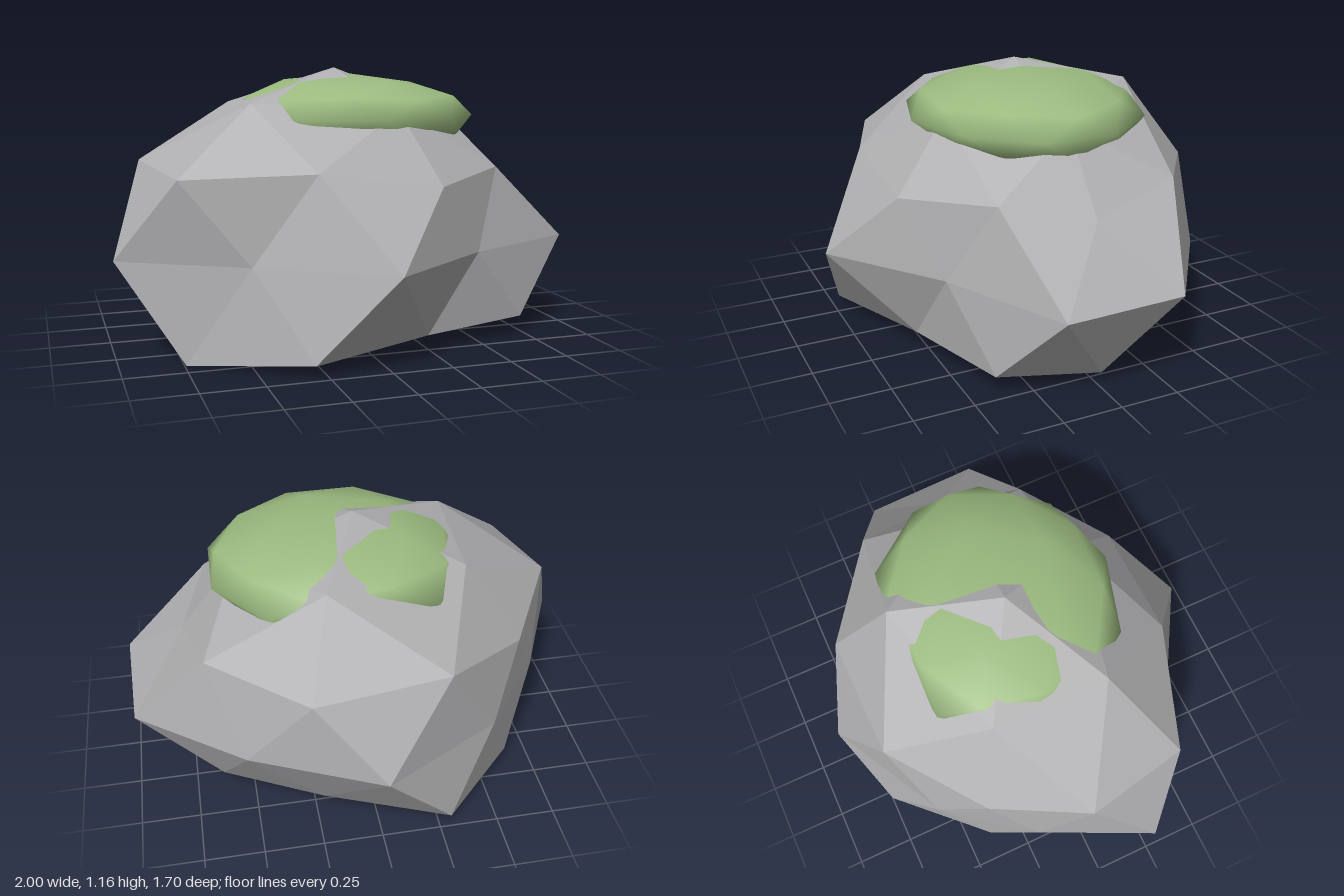
import * as THREE from 'three';

// Vertex-up icosphere (42 points) with a radius factor for every point, ring by ring from the top.
function lumpySphere(factors, place) {
  const ring = (start, step, heights) => Array.from({ length: 360 / step }, (_, j) => {
    const a = THREE.MathUtils.degToRad(start + j * step);
    const y = heights[j % heights.length], r = Math.sqrt(1 - y * y);
    return new THREE.Vector3(Math.sin(a) * r, y, Math.cos(a) * r);
  });
  const rings = [
    [new THREE.Vector3(0, 1, 0)],
    ring(18, 72, [0.851]),
    ring(18, 36, [0.447, 0.526]),
    ring(0, 36, [0]),
    ring(18, 36, [-0.526, -0.447]),
    ring(54, 72, [-0.851]),
    [new THREE.Vector3(0, -1, 0)],
  ];
  const positions = [];
  rings.forEach((points, i) => points.forEach((p, j) => {
    p.multiplyScalar(factors[i][j]);
    positions.push(...place(p));
  }));

  // Index helpers for each ring
  const b = k => 1 + k % 5;
  const a = j => 6 + (j + 10) % 10;
  const e = j => 16 + j % 10;
  const c = j => 26 + j % 10;
  const d = k => 36 + k % 5;
  const index = [];
  for (let k = 0; k < 5; k++) {
    const m = 2 * k;
    index.push(0, b(k), b(k + 1));
    index.push(b(k), a(m - 1), a(m), b(k), a(m), a(m + 1), b(k), a(m + 1), b(k + 1));
    index.push(d(k), c(m + 1), c(m), d(k), c(m + 2), c(m + 1), d(k), d(k + 1), c(m + 2));
    index.push(41, d(k + 1), d(k));
  }
  for (let j = 0; j < 10; j++) {
    index.push(a(j), e(j), e(j + 1), a(j), e(j + 1), a(j + 1));
    index.push(c(j), e(j + 1), e(j), c(j), c(j + 1), e(j + 1));
  }
  const geometry = new THREE.BufferGeometry();
  geometry.setAttribute('position', new THREE.Float32BufferAttribute(positions, 3));
  geometry.setIndex(index);
  return geometry;
}

export function createModel() {
  const stone = new THREE.MeshStandardMaterial({ color: 0xafaeb0 });
  stone.name = 'grey stone';
  const green = new THREE.MeshStandardMaterial({ color: 0x9bba7f });
  green.name = 'moss green';
  const group = new THREE.Group();
  group.name = 'mossyBoulder';

  // Faceted boulder, cut flat where it meets the ground
  const rockGeometry = lumpySphere([
    [1.068],
    [0.97, 0.95, 1.1, 1.0, 1.02],
    [0.93, 0.9, 0.83, 0.97, 1.0, 1.04, 0.89, 1.01, 1.06, 0.97],
    [1.09, 0.8, 1.05, 1.03, 0.91, 1.04, 0.86, 0.82, 1.05, 0.85],
    [0.87, 1.0, 0.95, 0.87, 0.84, 1.07, 0.93, 0.87, 1.08, 1.1],
    [1.0, 1.04, 0.86, 0.93, 1.0],
    [1.0],
  ], p => [p.x, Math.max(0, 0.4 + p.y * 0.71), p.z * 0.8 - 0.02]).toNonIndexed();
  rockGeometry.computeVertexNormals();
  const rock = new THREE.Mesh(rockGeometry, stone);
  rock.name = 'boulder';
  group.add(rock);

  // Smooth flattened moss cushion, with the rock's peak poking through
  const mossGeometry = lumpySphere([
    [1.1],
    [1.08, 1.02, 1.1, 1.1, 1.05],
    [1.04, 1.04, 1.05, 1.04, 1.04, 1.04, 1.04, 1.0, 1.0, 1.04],
    [1.04, 1.02, 1.03, 1.04, 1.06, 0.97, 1.09, 1.04, 0.98, 1.04],
    [1.0, 1.04, 1.06, 1.02, 1.0, 1.0, 1.02, 1.0, 1.0, 1.0],
    [1.0, 1.0, 1.0, 1.0, 1.0],
    [1.0],
  ], p => [0.07 + p.x * 0.54, 0.95 + p.y * 0.165, p.z * 0.48 - 0.02]);
  mossGeometry.computeVertexNormals();
  const moss = new THREE.Mesh(mossGeometry, green);
  moss.name = 'mossCap';
  group.add(moss);

  return group;
}
